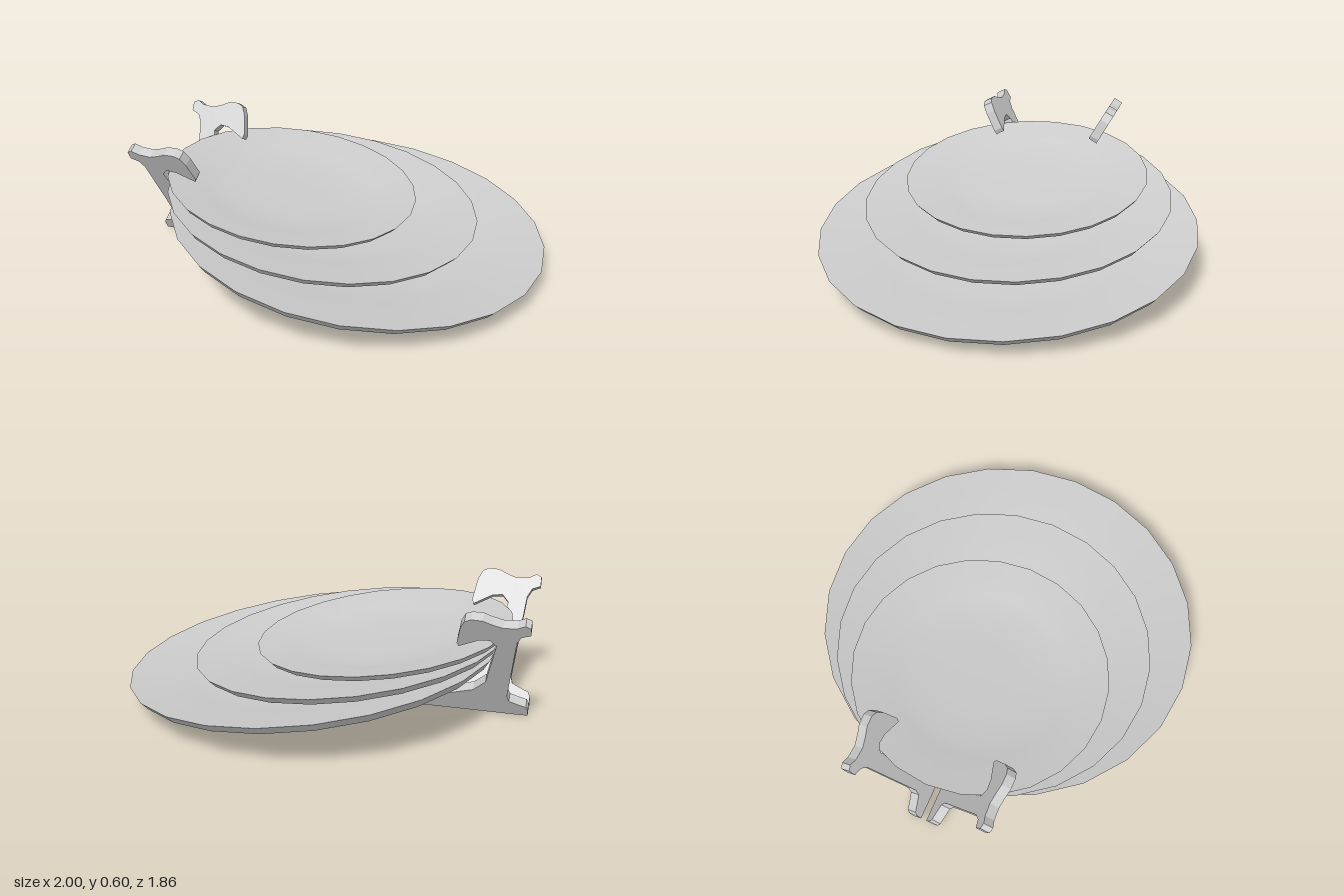
import * as THREE from 'three';

const grey = new THREE.MeshStandardMaterial({ color: 0xcccccc, side: THREE.DoubleSide });
const TILT = 0.1325; // slope angle of the stacked plates
const LEAN = 0.5;    // outward lean of the stand's side panels

function add(parent, geometry, name) {
  const mesh = new THREE.Mesh(geometry, grey);
  mesh.name = name;
  parent.add(mesh);
  return mesh;
}

// Dished plate with a wide lip and a flat foot; the rim lies in its local y = 0 plane
function makePlate(name, r, x, y) {
  const plate = new THREE.Group();
  plate.name = name;
  const lathe = pts => new THREE.LatheGeometry(pts.map(([a, b]) => new THREE.Vector2(a * r, b * r)), 24);
  add(plate, lathe([[1, 0], [0.85, -0.024], [0.7, -0.048], [0.55, -0.08], [0.3, -0.088], [0, -0.09]]), 'dish');
  add(plate, lathe([[0.965, -0.045], [1, 0]]), 'rim');
  add(plate, lathe([[0.5, -0.1], [0.57, -0.095], [0.78, -0.074], [0.965, -0.045]]), 'underside');
  const foot = add(plate, new THREE.CylinderGeometry(0.57 * r, 0.57 * r, 0.053 * r, 12), 'foot');
  foot.position.y = -0.1195 * r;
  plate.position.set(x, y, 0);
  plate.rotation.z = -TILT;
  return plate;
}

// Side panel of the stand: long base, upright and a hooked top
function makePanel(name, side) {
  const thickness = 0.05;
  const outline = [
    [-1, 0], [0, 0], [0, 0.03], [-0.06, 0.06], [-0.08, 0.075], [-0.09, 0.1], [-0.12, 0.108],
    [-0.62, 0.125], [-0.74, 0.165], [-0.8, 0.225], [-0.85, 0.46], [-0.82, 0.49], [-0.77, 0.485],
    [-0.68, 0.44], [-0.672, 0.46], [-0.69, 0.55], [-0.71, 0.59], [-0.74, 0.604], [-0.79, 0.602],
    [-0.83, 0.585], [-0.88, 0.57], [-0.94, 0.575], [-0.975, 0.592], [-1, 0.58], [-1, 0.54],
    [-0.96, 0.525], [-0.94, 0.49], [-0.9, 0.14], [-0.91, 0.11], [-0.96, 0.09], [-0.99, 0.08], [-1, 0.06],
  ];
  const shape = new THREE.Shape(outline.map(([x, y]) =>
    new THREE.Vector2(x, Math.max(0, (y - thickness * Math.sin(LEAN)) / Math.cos(LEAN)))));
  const geometry = new THREE.ExtrudeGeometry(shape, { depth: thickness, bevelEnabled: false });
  if (side < 0) geometry.translate(0, 0, -thickness);
  geometry.rotateX(side * LEAN);
  geometry.translate(0, thickness * Math.sin(LEAN), side * 0.014);
  const mesh = new THREE.Mesh(geometry, grey);
  mesh.name = name;
  return mesh;
}

export function createModel() {
  const model = new THREE.Group();
  model.name = 'plateStand';

  // Three plates in a stack, touching the stand at one side
  model.add(
    makePlate('smallPlate', 0.625, -0.28, 0.362),
    makePlate('mediumPlate', 0.775, -0.113, 0.302),
    makePlate('largePlate', 0.932, 0.073, 0.218),
  );

  // Stand of two panels spread in a V
  const stand = new THREE.Group();
  stand.name = 'stand';
  stand.add(makePanel('frontPanel', 1), makePanel('backPanel', -1));
  model.add(stand);
  return model;
}
